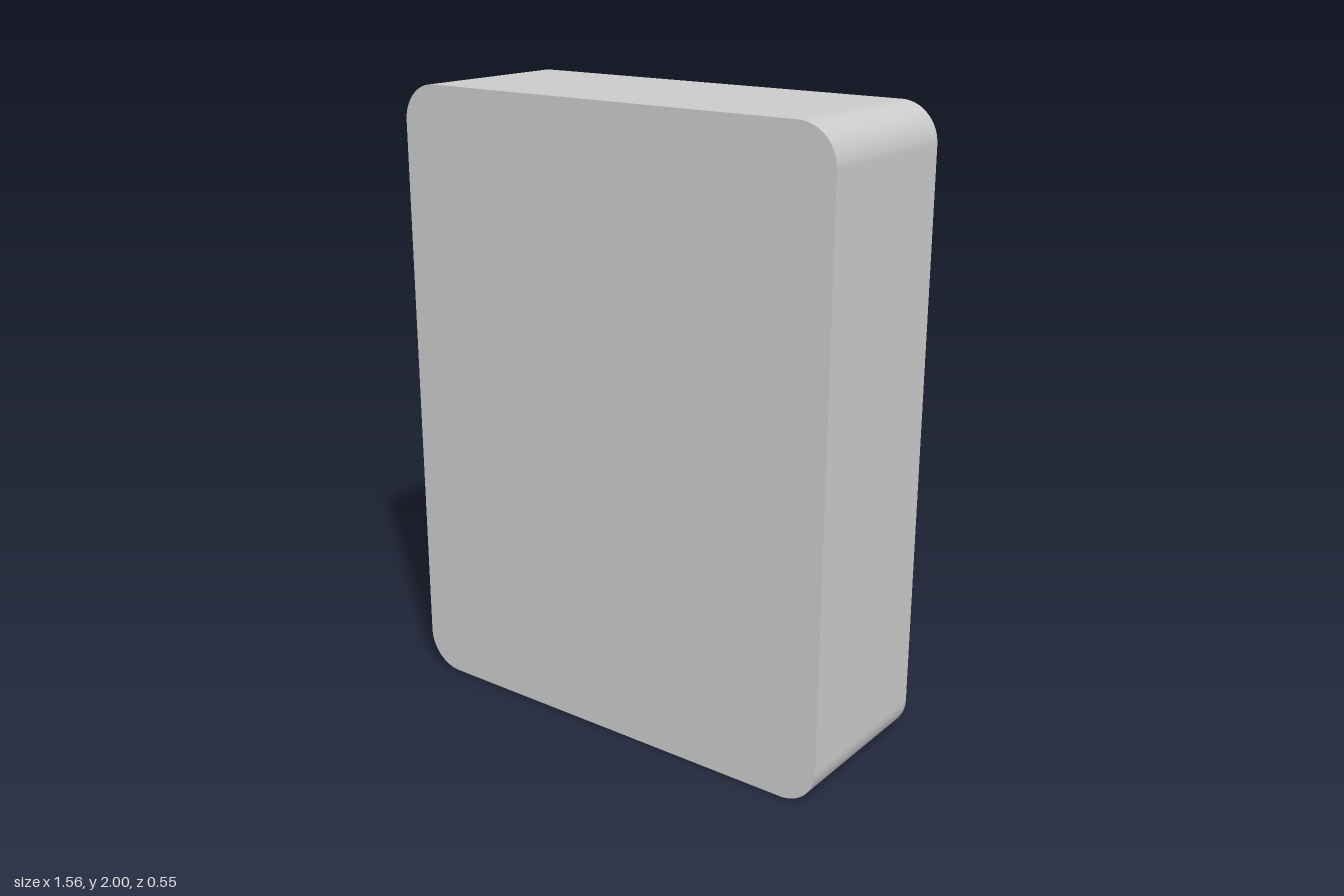
import * as THREE from 'three';
import { toCreasedNormals } from 'three/addons/utils/BufferGeometryUtils.js';

const W = 1.56, H = 2, D = 0.55, R = 0.12; // body size and corner radius
const HOLE_X = 0.58, HOLE_Y = 0.863, HOLE_R = 0.032, HOLE_DEPTH = 0.2;
const ARC = 16;      // segments per rounded corner
const HOLE_SEG = 32;

// Counter-clockwise rounded rectangle with the outward normal of each point
function roundedOutline() {
  const points = [], normals = [];
  [[1, 1], [-1, 1], [-1, -1], [1, -1]].forEach(([sx, sy], corner) => {
    for (let i = 0; i <= ARC; i++) {
      const a = (corner + i / ARC) * Math.PI / 2;
      const n = new THREE.Vector2(Math.cos(a), Math.sin(a));
      normals.push(n);
      points.push(new THREE.Vector2(sx * (W / 2 - R) + R * n.x, sy * (H / 2 - R) + R * n.y));
    }
  });
  return { points, normals };
}

// Smooth band running round the outline from back to front
function wallGeometry({ points, normals }) {
  const pos = [], nor = [], index = [];
  const count = points.length;
  for (let i = 0; i < count; i++) {
    const p = points[i], n = normals[i];
    pos.push(p.x, p.y, -D / 2, p.x, p.y, D / 2);
    nor.push(n.x, n.y, 0, n.x, n.y, 0);
    const a = 2 * i, b = 2 * ((i + 1) % count);
    index.push(a, b, b + 1, a, b + 1, a + 1);
  }
  const g = new THREE.BufferGeometry();
  g.setAttribute('position', new THREE.Float32BufferAttribute(pos, 3));
  g.setAttribute('normal', new THREE.Float32BufferAttribute(nor, 3));
  g.setIndex(index);
  return g;
}

export function createModel() {
  const group = new THREE.Group();
  group.name = 'roundedBox';
  const material = new THREE.MeshStandardMaterial({ color: 0xcccccc });
  const add = (name, geometry, x = 0, y = 0, z = 0) => {
    const mesh = new THREE.Mesh(geometry, material);
    mesh.name = name;
    mesh.position.set(x, y + H / 2, z);
    group.add(mesh);
  };

  const outline = roundedOutline();
  add('sideWall', wallGeometry(outline));
  add('frontPanel', new THREE.ShapeGeometry(new THREE.Shape(outline.points)), 0, 0, D / 2);

  // Back panel pierced by four screw holes
  const back = new THREE.Shape(outline.points);
  // Blind bore: wall going in, then the floor
  const bore = toCreasedNormals(new THREE.LatheGeometry([
    new THREE.Vector2(HOLE_R, 0),
    new THREE.Vector2(HOLE_R, -HOLE_DEPTH),
    new THREE.Vector2(0, -HOLE_DEPTH),
  ], HOLE_SEG), 0.6).rotateX(-Math.PI / 2);
  for (const sx of [-1, 1]) {
    for (const sy of [-1, 1]) {
      const x = sx * HOLE_X, y = sy * HOLE_Y;
      const rim = [];
      for (let i = 0; i < HOLE_SEG; i++) {
        const a = -i / HOLE_SEG * Math.PI * 2;
        rim.push(new THREE.Vector2(x + HOLE_R * Math.cos(a), y + HOLE_R * Math.sin(a)));
      }
      back.holes.push(new THREE.Path(rim));
      add('screwHole', bore, x, y, -D / 2);
    }
  }
  add('backPanel', new THREE.ShapeGeometry(back).rotateY(Math.PI), 0, 0, -D / 2);

  return group;
}
